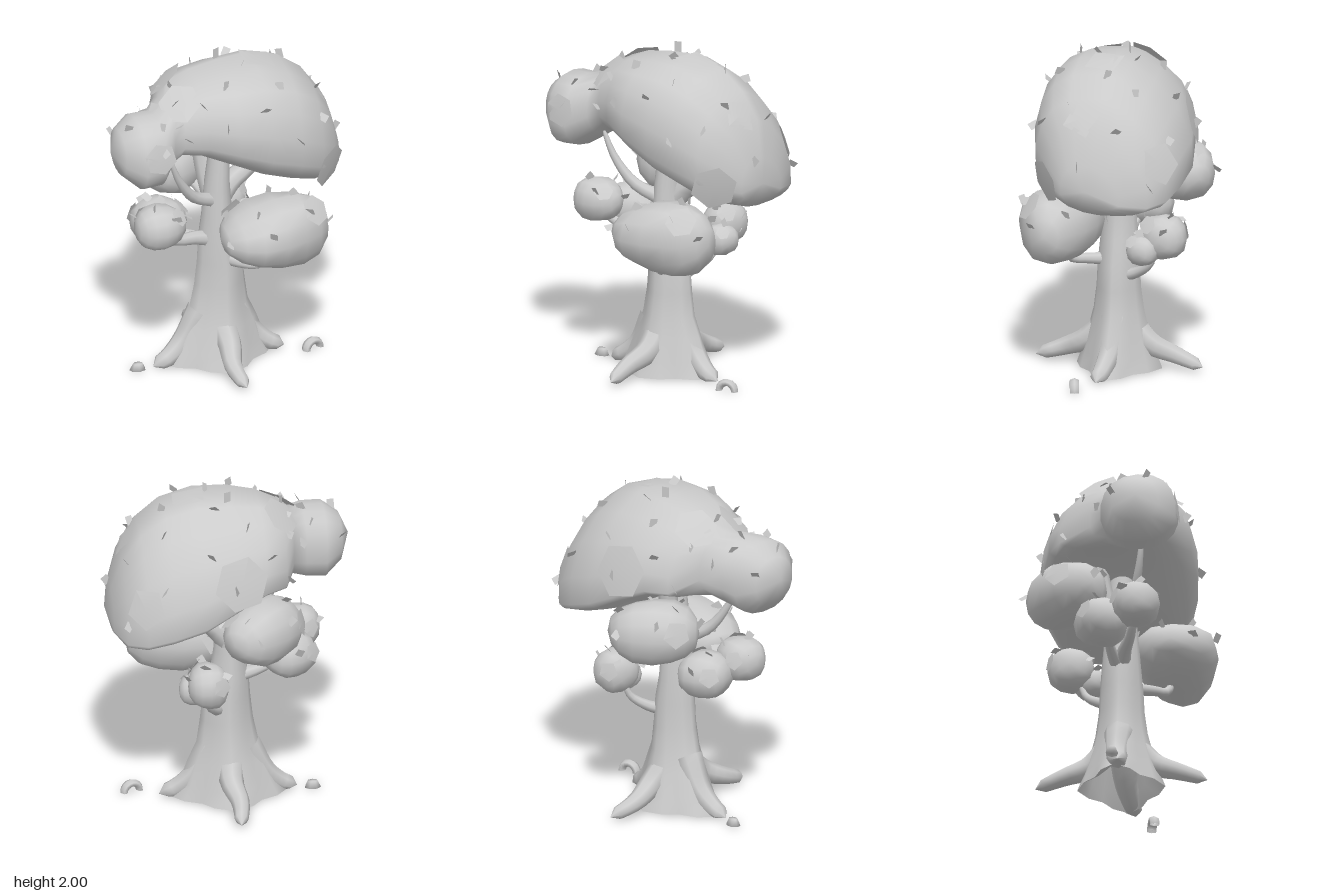
import * as THREE from 'three';
import { mergeVertices } from 'three/addons/utils/BufferGeometryUtils.js';

const V = (x, y, z) => new THREE.Vector3(x, y, z);
const mat = new THREE.MeshStandardMaterial({ color: 0xcccccc });
const thin = new THREE.MeshStandardMaterial({ color: 0xcccccc, side: THREE.DoubleSide });

function add(parent, name, geometry, material = mat) {
  const mesh = new THREE.Mesh(geometry, material);
  mesh.name = name;
  parent.add(mesh);
  return mesh;
}

// Weld seams and shade smoothly
function smooth(geo) {
  geo.deleteAttribute('uv');
  geo.deleteAttribute('normal');
  const g = mergeVertices(geo, 1e-5);
  g.computeVertexNormals();
  return g;
}

// Closed skin: a rule maps each unit direction to a surface point
function skin(rule, around, along) {
  const geo = new THREE.SphereGeometry(1, around, along).rotateZ(-Math.PI / 2);
  const p = geo.attributes.position;
  for (let i = 0; i < p.count; i++) {
    const q = rule(V().fromBufferAttribute(p, i));
    p.setXYZ(i, q.x, q.y, q.z);
  }
  return smooth(geo);
}

function normalAt(rule, d) {
  const a = V(0.31, 0.87, 0.4).cross(d).normalize(), b = d.clone().cross(a);
  const step = (t, s) => rule(d.clone().addScaledVector(t, s).normalize());
  const du = step(a, 0.08).sub(step(a, -0.08)), dv = step(b, 0.08).sub(step(b, -0.08));
  return du.cross(dv).normalize();
}

// Little leaf cards spread over a skin in a golden spiral
function leaves(parent, rule, count, seed) {
  for (let i = 0; i < count; i++) {
    const y = 0.95 - (i / count) * 0.95, a = i * 2.4 + seed, r = Math.sqrt(1 - y * y);
    const d = V(r * Math.cos(a), y, r * Math.sin(a));
    const n = normalAt(rule, d);
    const side = V(Math.sin(a * 3), 0.2, Math.cos(a * 3)).cross(n).normalize();
    const leaf = add(parent, 'leaf', new THREE.PlaneGeometry(0.045, 0.055), thin);
    leaf.position.copy(rule(d)).addScaledVector(n, 0.012);
    leaf.quaternion.setFromUnitVectors(V(0, 1, 0), n.clone().addScaledVector(side, 0.8).normalize());
    leaf.rotateY(a * 1.7);
  }
}

// Shallow domed leafy plates lying against a skin, their corners standing proud
function plates(parent, rule, list) {
  for (const [x, y, z, size, sides] of list) {
    const d = V(x, y, z).normalize(), n = normalAt(rule, d);
    const geo = new THREE.CircleGeometry(size, sides);
    geo.attributes.position.setZ(0, size * 0.1);
    geo.computeVertexNormals();
    const plate = add(parent, 'leafPlate', geo, thin);
    plate.position.copy(rule(d)).addScaledVector(n, 0.004 - size * 0.08);
    plate.quaternion.setFromUnitVectors(V(0, 0, 1), n);
    plate.rotateZ(x * 5 + z);
  }
}

const spow = (v, e) => Math.sign(v) * Math.pow(Math.abs(v), e);

// Main canopy cross-sections from left to right: x, yLow, yHigh, zBack, zFront
const sections = [
  [0.742, 1.28, 1.28, 0, 0], [0.71, 1.17, 1.43, -0.2, 0.16], [0.65, 1.12, 1.64, -0.36, 0.25],
  [0.54, 1.12, 1.8, -0.45, 0.36], [0.39, 1.16, 1.91, -0.49, 0.41], [0.2, 1.23, 1.96, -0.51, 0.43],
  [0, 1.34, 1.95, -0.47, 0.42], [-0.17, 1.42, 1.92, -0.41, 0.36], [-0.3, 1.43, 1.87, -0.33, 0.28],
  [-0.37, 1.41, 1.79, -0.14, 0.3], [-0.46, 1.34, 1.77, -0.05, 0.4], [-0.58, 1.33, 1.77, -0.05, 0.4],
  [-0.68, 1.42, 1.7, 0.03, 0.31], [-0.735, 1.57, 1.57, 0.18, 0.18],
];
function canopyRule(d) {
  const t = Math.acos(THREE.MathUtils.clamp(d.x, -1, 1)) / Math.PI * (sections.length - 1);
  const i = Math.min(Math.floor(t + 1e-6), sections.length - 2);
  const [x, y0, y1, z0, z1] = sections[i].map((v, k) => THREE.MathUtils.lerp(v, sections[i + 1][k], t - i));
  const a = Math.atan2(d.y, d.z), s = spow(Math.sin(a), 0.85);
  // Main mass: back slopes in towards the top, front tucks in below; the side lobe stays round
  let power = 0.9, middle = 0.45;
  if (x > -0.35 && d.z < 0) [power, middle] = [s > 0 ? 1.6 : 0.8, 0.16];
  else if (x > -0.35) [power, middle] = [s > 0 ? 0.7 : 1.15, 0.38];
  const c = spow(Math.cos(a), power), mid = y0 + middle * (y1 - y0);
  return V(x, mid + s * (s > 0 ? y1 - mid : mid - y0), (z0 + z1) / 2 + c * (z1 - z0) / 2);
}

// Smaller clump: rounded lump with height taper, depth taper and turn
function clumpRule([cx, cy, cz], [rx, ry, rz], turn = 0, taperY = 0, taperZ = 0) {
  return (d) => {
    const bump = 1 + 0.04 * Math.sin(d.x * 4 + cz * 9) * Math.cos(d.z * 4 + cx * 9);
    const y = ry * (1 + taperY * d.x) * spow(d.y, 0.88), z = rz * (1 + taperZ * d.x) * spow(d.z, 0.85);
    return V(rx * spow(d.x, 0.9), y, z)
      .multiplyScalar(bump).applyAxisAngle(V(0, 1, 0), turn).add(V(cx, cy, cz));
  };
}

// Tapered limb along a curve, never below the ground
function limb(parent, name, points, r0, r1, sides = 8) {
  const curve = new THREE.CatmullRomCurve3(points.map((p) => V(...p)));
  const rows = 10, geo = new THREE.TubeGeometry(curve, rows, 1, sides);
  const p = geo.attributes.position;
  for (let i = 0; i < p.count; i++) {
    const row = Math.floor(i / (sides + 1)), t = row / rows;
    const c = curve.getPointAt(t);
    const r = row === rows ? 0.001 : THREE.MathUtils.lerp(r0, r1, t);
    const q = V().fromBufferAttribute(p, i).sub(c).multiplyScalar(r).add(c);
    p.setXYZ(i, q.x, Math.max(q.y, 0.01), q.z);
  }
  add(parent, name, smooth(geo));
}

export function createModel() {
  const tree = new THREE.Group();
  tree.name = 'tree';

  // Trunk, from top to ground: y, half width, half depth, x offset
  const rows = [[1.5, 0.05, 0.06, 0.02], [1.15, 0.075, 0.085, 0], [0.95, 0.09, 0.1, 0], [0.8, 0.11, 0.11, 0],
    [0.65, 0.132, 0.12, 0.015], [0.5, 0.145, 0.125, 0.015], [0.36, 0.165, 0.14, 0.01], [0.24, 0.21, 0.165, 0.01],
    [0.1, 0.26, 0.2, 0], [0.01, 0.3, 0.225, 0]];
  const trunk = new THREE.CylinderGeometry(1, 1, 1, 16, rows.length - 1, true);
  const tp = trunk.attributes.position;
  for (let i = 0; i < tp.count; i++) {
    const row = Math.floor(i / 17);
    const [y, rx, rz, cx] = rows[row];
    const ridge = 1 + 0.018 * row * Math.cos(4 * Math.atan2(tp.getZ(i), tp.getX(i)));
    tp.setXYZ(i, cx + tp.getX(i) * rx * ridge, y, tp.getZ(i) * rz * ridge);
  }
  add(tree, 'trunk', smooth(trunk), thin);

  // Roots: broad ones to the sides, winding ones to front and back
  for (const s of [1, -1]) {
    limb(tree, 'sideRoot', [[s * 0.1, 0.32, 0], [s * 0.21, 0.14, 0], [s * 0.32, 0.05, 0.02], [s * 0.41, 0.015, 0.03]], 0.09, 0.045);
    limb(tree, s > 0 ? 'frontRoot' : 'backRoot',
      [[0, 0.28, s * 0.06], [0.01, 0.16, s * 0.19], [-0.02, 0.095, s * 0.33], [0, 0.035, s * 0.51]], 0.09, 0.035);
  }

  // Branches
  limb(tree, 'canopyBranch', [[0, 1.0, -0.02], [0.1, 1.12, -0.04], [0.22, 1.2, -0.06], [0.32, 1.35, -0.08]], 0.07, 0.05);
  limb(tree, 'canopyBranch', [[0, 1.0, -0.03], [-0.04, 1.2, -0.09], [-0.08, 1.5, -0.14]], 0.07, 0.05);
  limb(tree, 'lobeBranch', [[-0.03, 1.05, 0.02], [-0.18, 1.13, 0.09], [-0.29, 1.28, 0.14], [-0.36, 1.46, 0.17]], 0.045, 0.012);
  limb(tree, 'rightBranch', [[0, 0.78, 0], [-0.16, 0.83, 0.04], [-0.29, 0.86, 0.09], [-0.4, 0.94, 0.13]], 0.055, 0.02);
  limb(tree, 'rightBranch', [[0, 0.76, 0], [-0.15, 0.81, -0.03], [-0.3, 0.88, -0.05]], 0.05, 0.02);
  limb(tree, 'frontBranch', [[0.04, 0.67, 0.06], [0.1, 0.68, 0.17], [0.17, 0.7, 0.25], [0.22, 0.82, 0.28]], 0.04, 0.018);
  limb(tree, 'backBranch', [[0.06, 0.58, -0.04], [0.1, 0.62, -0.14], [0.15, 0.69, -0.23], [0.17, 0.8, -0.27]], 0.04, 0.013);
  limb(tree, 'backBranch', [[0, 0.97, -0.04], [-0.06, 1.06, -0.12], [-0.14, 1.15, -0.26]], 0.045, 0.02);

  // Main canopy with its side lobe
  const canopy = new THREE.Group();
  canopy.name = 'canopy';
  tree.add(canopy);
  add(canopy, 'canopySkin', skin(canopyRule, 18, sections.length - 1));
  leaves(canopy, canopyRule, 34, 0.5);
  plates(canopy, canopyRule, [
    [0.78, -0.1, 0.5, 0.14, 6], [0.8, 0.5, 0.1, 0.12, 4], [0.75, 0.2, -0.6, 0.13, 5], [0.4, 0.9, 0.05, 0.13, 4],
    [-0.35, 0.85, -0.4, 0.13, 6], [-0.35, 0.7, 0.5, 0.13, 6], [0.1, 0.2, -0.95, 0.17, 6], [-0.8, 0.1, 0.6, 0.1, 6],
  ]);
  const topLeaf = add(canopy, 'leaf', new THREE.PlaneGeometry(0.045, 0.08), thin);
  topLeaf.position.set(0.02, 1.96, -0.07);
  topLeaf.rotation.y = 0.4;

  // Lower foliage clumps: name, centre, radii, turn, height taper, depth taper, leaf count
  const clumps = [
    ['frontClump', [0.25, 0.93, 0.3], [0.33, 0.21, 0.24], 0, 0.2, -0.2, 10],
    ['backClump', [-0.155, 1.2, -0.31], [0.27, 0.19, 0.2], Math.PI / 4, -0.05, -0.05, 8],
    ['upperRightClump', [-0.41, 1.0, 0.14], [0.15, 0.13, 0.14], 0, -0.08, -0.08, 5],
    ['lowerRightClump', [-0.345, 0.93, -0.07], [0.16, 0.14, 0.16], 0.4, 0, 0, 5],
    ['leftBackClump', [0.17, 0.87, -0.32], [0.12, 0.135, 0.14], 0, 0, 0, 5],
    ['lowerBackClump', [0.23, 0.8, -0.21], [0.1, 0.095, 0.1], 0, 0, 0, 3],
  ];
  clumps.forEach(([name, centre, radii, turn, taperY, taperZ, count], i) => {
    const clump = new THREE.Group();
    clump.name = name;
    tree.add(clump);
    const rule = clumpRule(centre, radii, turn, taperY, taperZ);
    add(clump, 'clumpSkin', skin(rule, 12, 8));
    leaves(clump, rule, count, i * 1.3);
    plates(clump, rule, [[0.6, 0.6, 0.5, radii[1] * 0.45, 6], [-0.5, 0.2, -0.8, radii[1] * 0.45, 5]]);
  });

  // Loose arched root and a small stone on the ground
  const arch = add(tree, 'archedRoot', new THREE.TorusGeometry(0.05, 0.022, 6, 8, Math.PI), thin);
  arch.position.set(0.56, 0.005, 0.115);
  arch.rotation.y = 0.3;
  arch.scale.z = 1.4;
  const stone = add(tree, 'stone', smooth(new THREE.CylinderGeometry(0.03, 0.05, 0.04, 7)));
  stone.position.set(-0.5, 0.025, 0.01);
  stone.scale.z = 0.75;

  return tree;
}
